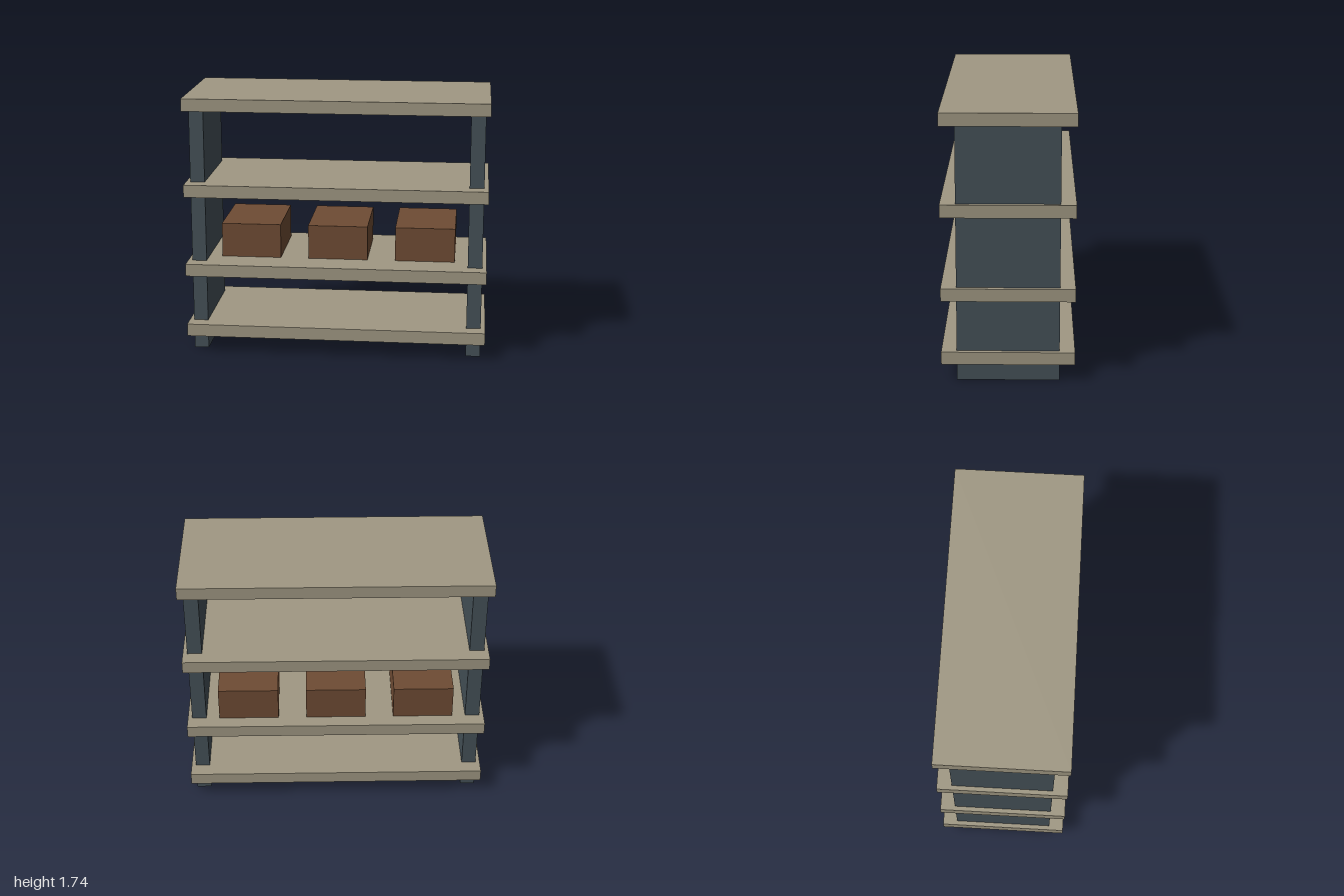
import * as THREE from 'three';

export function createModel() {
  const group = new THREE.Group();
  group.name = 'shelfUnit';

  const board = new THREE.MeshStandardMaterial({ color: 0xa09883 });
  const frame = new THREE.MeshStandardMaterial({ color: 0x455158 });
  const crate = new THREE.MeshStandardMaterial({ color: 0x6f4c34 });

  // Box given by its size, centre x and z, and bottom height
  function addBox(name, material, [w, h, d], x, bottom, z = 0) {
    const mesh = new THREE.Mesh(new THREE.BoxGeometry(w, h, d), material);
    mesh.name = name;
    mesh.position.set(x, bottom + h / 2, z);
    group.add(mesh);
  }

  // Side panels, running from the floor to the top board
  for (const side of [-1, 1]) {
    addBox(side > 0 ? 'leftPanel' : 'rightPanel', frame, [0.096, 1.67, 0.65], side * 0.923, 0);
  }

  // Overhanging shelf boards
  [0.115, 0.537, 1.08, 1.655].forEach((bottom, i) => {
    addBox(`shelf${i + 1}`, board, [2, 0.083, 0.844], 0, bottom);
  });

  // Storage boxes set through the second shelf, towards the back
  [-0.587, 0, 0.587].forEach((x, i) => {
    addBox(`storageBox${i + 1}`, crate, [0.4, 0.34, 0.533], x, 0.51, -0.061);
  });

  return group;
}
